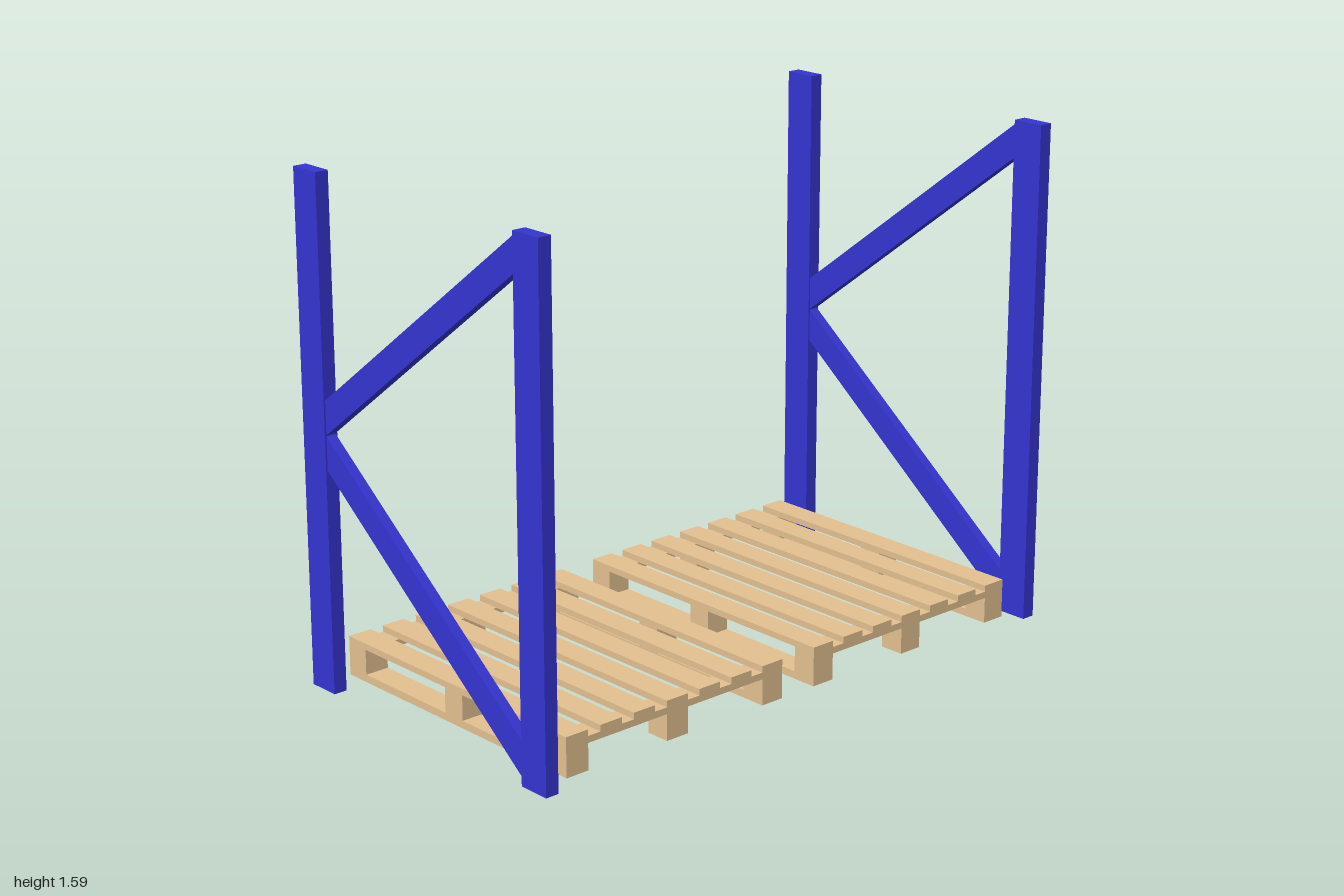
import * as THREE from 'three';

const blue = new THREE.MeshStandardMaterial({ name: 'blue steel', color: 0x3434d0 });
const wood = new THREE.MeshStandardMaterial({ name: 'pallet wood', color: 0xe3c090 });
const grey = new THREE.MeshStandardMaterial({ name: 'grey plate', color: 0xa6a6aa });
const mauve = new THREE.MeshStandardMaterial({ name: 'mauve label', color: 0x9a8ca8 });

// Box given by its limits on each axis
function box(parent, name, material, [x0, x1], [y0, y1], [z0, z1]) {
  const mesh = new THREE.Mesh(new THREE.BoxGeometry(x1 - x0, y1 - y0, z1 - z0), material);
  mesh.position.set((x0 + x1) / 2, (y0 + y1) / 2, (z0 + z1) / 2);
  mesh.name = name;
  parent.add(mesh);
}

// Sloping brace: parallelogram in the z-y plane, extruded along x
function brace(parent, name, corners) {
  const depth = 0.033;
  const shape = new THREE.Shape(corners.map(([z, y]) => new THREE.Vector2(z, y)));
  const geometry = new THREE.ExtrudeGeometry(shape, { depth, bevelEnabled: false });
  geometry.translate(0, 0, -depth / 2).rotateY(-Math.PI / 2);
  const mesh = new THREE.Mesh(geometry, blue);
  mesh.name = name;
  parent.add(mesh);
}

// End frame: two posts joined by two braces
function createFrame(name, x) {
  const frame = new THREE.Group();
  frame.name = name;
  frame.position.x = x;
  box(frame, 'frontPost', blue, [-0.022, 0.022], [0, 1.585], [0.435, 0.54]);
  box(frame, 'backPost', blue, [-0.022, 0.022], [0, 1.585], [-0.54, -0.435]);
  brace(frame, 'lowerBrace', [[0.437, 0.02], [0.437, 0.13], [-0.437, 0.805], [-0.437, 0.7]]);
  brace(frame, 'upperBrace', [[0.437, 1.47], [0.437, 1.575], [-0.437, 0.91], [-0.437, 0.805]]);
  return frame;
}

// Pallet: side bottom boards, blocks, cross boards and deck slats
function createPallet(name, x) {
  const pallet = new THREE.Group();
  pallet.name = name;
  pallet.position.x = x;
  const span = (c) => [c - 0.04, c + 0.04];
  for (const bx of [-0.375, 0.375]) {
    box(pallet, 'bottomBoard', wood, span(bx), [0.013, 0.037], [-0.5, 0.5]);
    for (const bz of [-0.46, 0.46]) {
      box(pallet, 'cornerBlock', wood, span(bx), [0.037, 0.096], span(bz));
    }
    box(pallet, 'sideBlock', wood, span(bx), [0.037, 0.117], span(0));
  }
  for (const bz of [-0.46, 0.46]) {
    box(pallet, 'middleBlock', wood, span(0), [0.013, 0.096], span(bz));
    box(pallet, 'crossBoard', wood, [-0.415, 0.415], [0.096, 0.117], span(bz));
  }
  for (let i = -3; i <= 3; i++) {
    box(pallet, 'deckSlat', wood, span(i * 0.125), [0.117, 0.137], [-0.5, 0.5]);
  }
  return pallet;
}

export function createModel() {
  const model = new THREE.Group();
  model.name = 'palletRackBay';

  const rightFrame = createFrame('rightFrame', -0.978);
  model.add(rightFrame, createFrame('leftFrame', 0.978));
  // Plate on the inner side of the right back post
  box(rightFrame, 'postPlate', grey, [0.022, 0.023], [1.505, 1.58], [-0.539, -0.436]);

  const rightPallet = createPallet('rightPallet', -0.478);
  model.add(rightPallet, createPallet('leftPallet', 0.482));
  // Labels on the back faces of two blocks
  box(rightPallet, 'backBlockLabel', mauve, [0.336, 0.414], [0.055, 0.09], [-0.501, -0.5]);
  box(rightPallet, 'frontBlockLabel', mauve, [-0.039, 0.039], [0.055, 0.09], [0.419, 0.42]);

  return model;
}
